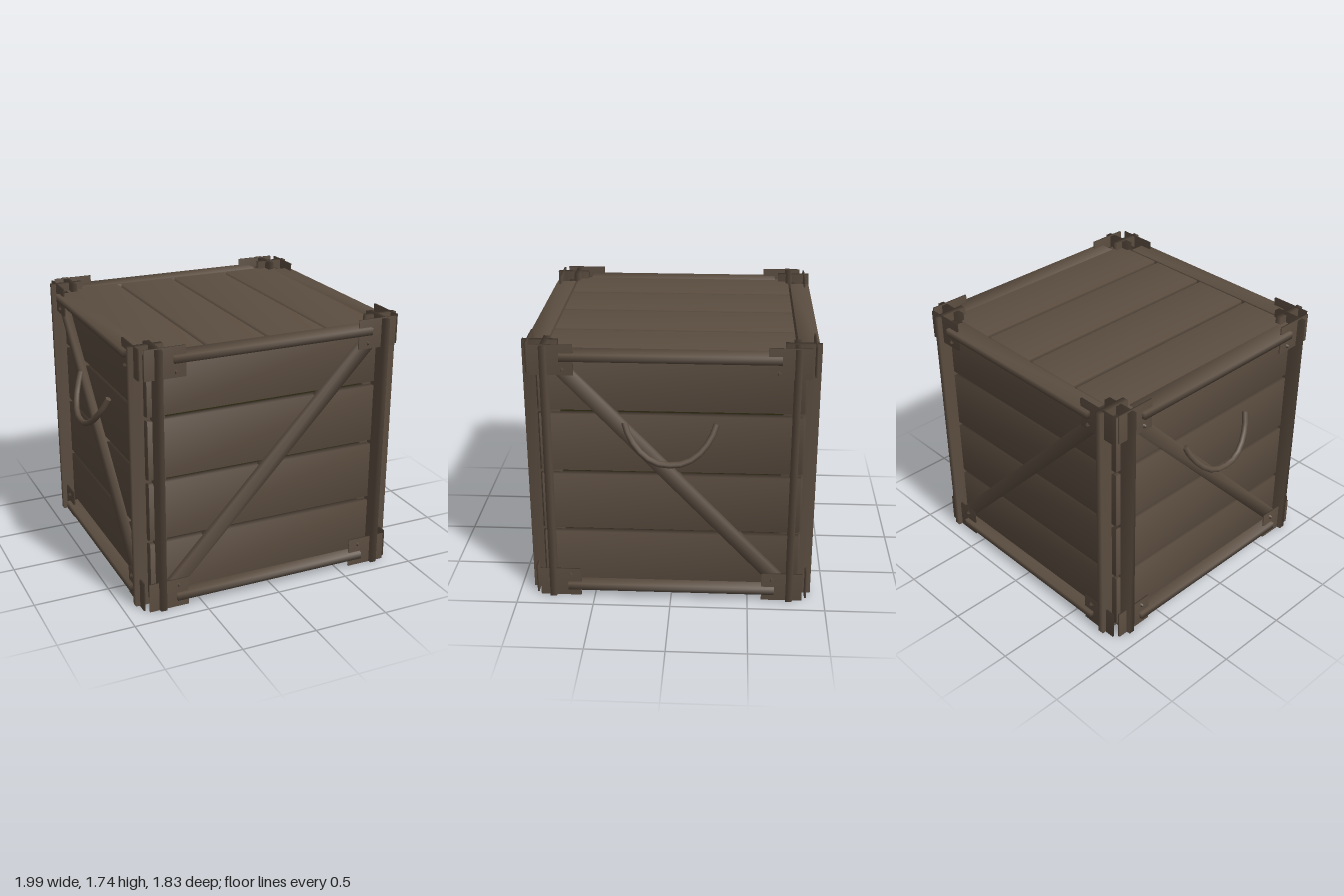
import * as THREE from 'three';
import { mergeVertices } from 'three/addons/utils/BufferGeometryUtils.js';

const wood = new THREE.MeshStandardMaterial({ color: 0x5b4d40 });
wood.name = 'brown wood';
const inner = new THREE.MeshStandardMaterial({ color: 0x2c2b10 });
inner.name = 'dark olive core';

const MID = 0.87;    // height of the crate's centre
const PITCH = 0.413; // spacing of the slats
const SLAT = 0.382;  // width of a slat

// Box with shared corners, so its shading runs softly over the edges
function softBox(w, h, d) {
  const g = new THREE.BoxGeometry(w, h, d);
  g.deleteAttribute('uv');
  g.deleteAttribute('normal');
  const merged = mergeVertices(g);
  merged.computeVertexNormals();
  return merged;
}

function add(parent, name, geometry, x, y, z, material = wood) {
  const mesh = new THREE.Mesh(geometry, material);
  mesh.name = name;
  mesh.position.set(x, y, z);
  parent.add(mesh);
  return mesh;
}

// One upright side, facing +z; slope is the direction of its brace
function sidePanel(name, slope) {
  const panel = new THREE.Group();
  panel.name = name;

  for (let i = 0; i < 4; i++) {
    add(panel, 'sideSlat', softBox(1.64, SLAT, 0.055), 0, MID + (i - 1.5) * PITCH, 0.8025);
  }

  const brace = add(panel, 'diagonalBrace', softBox(2, 0.09, 0.07), 0, MID, 0.84);
  brace.rotation.z = slope * 0.815;

  for (const sx of [-1, 1]) {
    add(panel, 'cornerPost', softBox(0.042, 1.73, 0.22), sx * 0.77, MID, 0.805);
  }

  for (const sy of [-1, 1]) {
    add(panel, 'rail', softBox(1.345, 0.046, 0.13), 0, MID + sy * 0.795, 0.845);
    for (const sx of [-1, 1]) {
      add(panel, 'cornerPlate', softBox(0.265, 0.193, 0.012), sx * 0.7225, MID + sy * 0.7735, 0.88);
      const bolt = add(panel, 'bolt', new THREE.CylinderGeometry(0.008, 0.018, 0.02, 3),
        sx * 0.655, MID + sy * 0.715, 0.893);
      bolt.rotation.set(Math.PI / 2, Math.PI / 2, 0);
    }
  }
  return panel;
}

// Sagging carrying loop, leaning away from the panel
function handle() {
  const half = [[0.285, 1.24], [0.25, 1.155], [0.175, 1.065], [0.09, 1.015]];
  const ends = half.map(([x, y]) => [-x, y]);
  const points = [...ends, [0, 1.003], ...half.slice().reverse()]
    .map(([x, y]) => new THREE.Vector3(x, y, 0.978 - (y - 1.003) * 0.42));
  const curve = new THREE.CatmullRomCurve3(points);
  const group = new THREE.Group();
  group.name = 'handle';
  add(group, 'handleLoop', new THREE.TubeGeometry(curve, 12, 0.02, 8), 0, 0, 0);
  // End caps
  for (const t of [0, 1]) {
    const p = curve.getPoint(t);
    const cap = add(group, 'handleEnd', new THREE.CircleGeometry(0.02, 8), p.x, p.y, p.z);
    const out = curve.getTangent(t).multiplyScalar(t ? 1 : -1);
    cap.quaternion.setFromUnitVectors(new THREE.Vector3(0, 0, 1), out);
  }
  return group;
}

export function createModel() {
  const crate = new THREE.Group();
  crate.name = 'crate';

  add(crate, 'core', new THREE.BoxGeometry(1.52, 1.52, 1.52), 0, MID, 0, inner);

  // Lid and floor slats
  for (const [name, sy] of [['lidSlat', 1], ['floorSlat', -1]]) {
    for (let i = 0; i < 4; i++) {
      add(crate, name, softBox(SLAT, 0.055, 1.53), (i - 1.5) * PITCH, MID + sy * 0.7875, 0);
    }
  }

  // Four sides, with handles on the left and right
  ['frontPanel', 'leftPanel', 'backPanel', 'rightPanel'].forEach((name, i) => {
    const panel = sidePanel(name, i % 2 ? -1 : 1);
    if (i % 2) panel.add(handle());
    panel.rotation.y = i * Math.PI / 2;
    crate.add(panel);
  });
  return crate;
}
